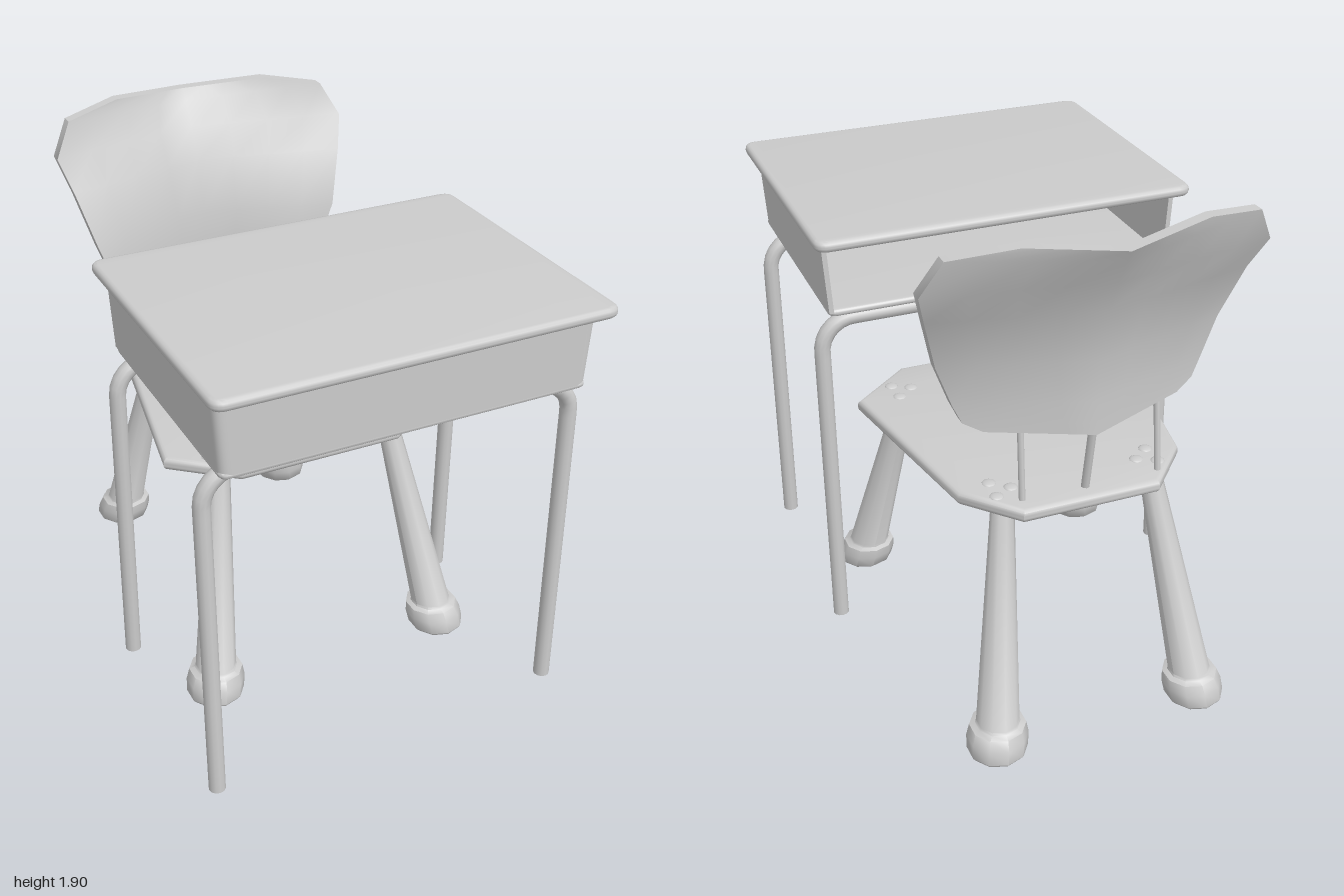
import * as THREE from 'three';
import { toCreasedNormals } from 'three/addons/utils/BufferGeometryUtils.js';

const V2 = (x, y) => new THREE.Vector2(x, y);
const V3 = (x, y, z) => new THREE.Vector3(x, y, z);
const lerp = THREE.MathUtils.lerp;

export function createModel() {
  const model = new THREE.Group();
  const mat = new THREE.MeshStandardMaterial({ color: 0xcccccc });

  const add = (name, geo, parent = model) => {
    const mesh = new THREE.Mesh(geo, mat);
    mesh.name = name;
    parent.add(mesh);
    return mesh;
  };
  const group = (name) => {
    const g = new THREE.Group();
    g.name = name;
    model.add(g);
    return g;
  };

  // Horizontal slab from a plan drawn in (x, z), with rounded rims
  const slab = (shape, top, thick, bevel) => {
    const geo = new THREE.ExtrudeGeometry(shape, {
      depth: thick - 2 * bevel, bevelEnabled: bevel > 0, bevelThickness: bevel,
      bevelSize: bevel, bevelOffset: -bevel, bevelSegments: 3, curveSegments: 6,
    });
    geo.rotateX(Math.PI / 2).translate(0, top - bevel, 0);
    return toCreasedNormals(geo, 0.65);
  };

  const roundedPlan = (hw, z0, z1, r) => {
    const s = new THREE.Shape();
    s.moveTo(-hw + r, z0).lineTo(hw - r, z0);
    s.quadraticCurveTo(hw, z0, hw, z0 + r).lineTo(hw, z1 - r);
    s.quadraticCurveTo(hw, z1, hw - r, z1).lineTo(-hw + r, z1);
    s.quadraticCurveTo(-hw, z1, -hw, z1 - r).lineTo(-hw, z0 + r);
    s.quadraticCurveTo(-hw, z0, -hw + r, z0);
    return s;
  };

  // Desk: lid, and a book tray open at the back
  const desk = group('desk');
  add('deskTop', slab(roundedPlan(0.71, -0.07, 1.0, 0.05), 1.635, 0.04, 0.018), desk);

  const walls = new THREE.Shape();
  const W = 0.675, F = 0.925, B = 0.01, T = 0.018, R = 0.04;
  walls.moveTo(W, B).lineTo(W, F - R);
  walls.quadraticCurveTo(W, F, W - R, F).lineTo(-W + R, F);
  walls.quadraticCurveTo(-W, F, -W, F - R).lineTo(-W, B).lineTo(-W + T, B);
  walls.lineTo(-W + T, F - R).quadraticCurveTo(-W + T, F - T, -W + R, F - T);
  walls.lineTo(W - R, F - T).quadraticCurveTo(W - T, F - T, W - T, F - R);
  walls.lineTo(W - T, B);
  const wallGeo = slab(walls, 1.6, 0.27, 0);
  const wp = wallGeo.attributes.position;
  for (let i = 0; i < wp.count; i++) {
    wp.setX(i, wp.getX(i) * lerp(0.975, 1, (wp.getY(i) - 1.33) / 0.27)); // taper downwards
  }
  add('trayWalls', wallGeo, desk);
  add('trayFloor', slab(roundedPlan(0.658, B, F, 0.03), 1.34, 0.025, 0.01), desk);

  // Desk legs: two bent tube frames
  const frame = (name, zTop, right, left) => {
    const g = group(name);
    const y = 1.285, r = 0.12, hw = 0.68;
    const path = new THREE.CurvePath();
    const a = V3(-hw, y - r, zTop), b = V3(-hw + r, y, zTop);
    const c = V3(hw - r, y, zTop), d = V3(hw, y - r, zTop);
    const k = r * 0.45; // handle inset for a near-circular bend
    path.add(new THREE.LineCurve3(right, a));
    path.add(new THREE.CubicBezierCurve3(a, V3(-hw, y - k, zTop), V3(-hw + k, y, zTop), b));
    path.add(new THREE.LineCurve3(b, c));
    path.add(new THREE.CubicBezierCurve3(c, V3(hw - k, y, zTop), V3(hw, y - k, zTop), d));
    path.add(new THREE.LineCurve3(d, left));
    add('bentTube', new THREE.TubeGeometry(path, 120, 0.03, 12), g);
    for (const end of [right, left]) {
      const cap = add('tubeEnd', new THREE.CircleGeometry(0.03, 12).rotateX(Math.PI / 2), g);
      cap.position.copy(end);
    }
  };
  frame('frontDeskLegs', 0.815, V3(-0.68, 0.03, 0.87), V3(0.68, 0.01, 0.83));
  frame('backDeskLegs', 0.06, V3(-0.68, 0.03, 0.045), V3(0.68, 0.01, 0.045));

  // Seat: tapered board with clipped corners
  const half = [[0.32, 0.305], [0.545, 0.12], [0.415, -0.6], [0.25, -0.785]];
  const seatPlan = new THREE.Shape([
    ...half.map(([x, z]) => V2(x, z)),
    ...half.slice().reverse().map(([x, z]) => V2(-x, z)),
  ]);
  add('seat', slab(seatPlan, 0.9, 0.05, 0.02));

  // Chair legs with hollow feet, leaning outwards, and three screws over each
  const legProfile = [
    [0, 0.07], [0.075, 0.07], [0.085, 0.008], [0.098, 0.004], [0.108, 0.015], [0.109, 0.06],
    [0.1, 0.095], [0.08, 0.102], [0.076, 0.11], [0.04, 0.87], [0, 0.87],
  ].map(([x, y]) => V2(x, y));
  const chairLegs = group('chairLegs');
  const screws = group('seatScrews');
  const legs = [
    { name: 'frontChairLeg', foot: [0.48, 0.385], top: [0.345, 0.155], screw: [0.36, 0.13], dir: -1 },
    { name: 'backChairLeg', foot: [0.388, -0.885], top: [0.275, -0.655], screw: [0.265, -0.62], dir: 1 },
  ];
  for (const leg of legs) {
    for (const side of [-1, 1]) {
      const lean = new THREE.Matrix4().makeShear(
        0, 0, side * (leg.top[0] - leg.foot[0]) / 0.87, (leg.top[1] - leg.foot[1]) / 0.87, 0, 0);
      const geo = new THREE.LatheGeometry(legProfile, 10).applyMatrix4(lean);
      add(leg.name, toCreasedNormals(geo, 0.8), chairLegs)
        .position.set(side * leg.foot[0], 0, leg.foot[1]);
      for (const [dx, dz] of [[-0.03, -0.01], [0.03, 0.04], [0.035, -0.045]]) {
        const screw = new THREE.SphereGeometry(0.026, 10, 4, 0, Math.PI * 2, 0, Math.PI / 2);
        add('screw', screw.scale(1, 0.35, 1), screws)
          .position.set(side * (leg.screw[0] + dx), 0.898, leg.screw[1] + dz * leg.dir);
      }
    }
  }

  // Backrest rows: half width, y at centre, y at edge, z of rear at centre, forward sweep
  const rows = [
    [0.35, 1.145, 1.17, -0.795, 0.33],
    [0.415, 1.19, 1.205, -0.795, 0.33],
    [0.445, 1.27, 1.27, -0.795, 0.32],
    [0.5, 1.42, 1.42, -0.8, 0.29],
    [0.555, 1.62, 1.62, -0.85, 0.23],
    [0.592, 1.74, 1.74, -0.905, 0.2],
    [0.525, 1.83, 1.865, -0.955, 0.24],
    [0.31, 1.875, 1.9, -0.982, 0.28],
  ];
  const back = new THREE.BoxGeometry(2, rows.length - 1, 1, 8, rows.length - 1, 1);
  const bp = back.attributes.position;
  for (let i = 0; i < bp.count; i++) {
    const u = bp.getX(i);
    const [hw, yc, ye, zc, sweep] = rows[Math.round(bp.getY(i) + (rows.length - 1) / 2)];
    const thick = bp.getZ(i) > 0 ? 0.045 : 0;
    bp.setXYZ(i, u * hw, lerp(yc, ye, Math.abs(u)), zc + sweep * Math.abs(u * hw) + thick);
  }
  add('backrest', toCreasedNormals(back, 0.8));

  // Thin posts carrying the backrest
  const posts = group('backrestPosts');
  for (const [x, zTop, r] of [[-0.275, -0.675, 0.012], [0, -0.775, 0.015], [0.228, -0.69, 0.012]]) {
    const line = new THREE.LineCurve3(V3(x, 0.88, -0.715), V3(x, 1.22, zTop));
    add('post', new THREE.TubeGeometry(line, 1, r, 8), posts);
  }

  return model;
}
